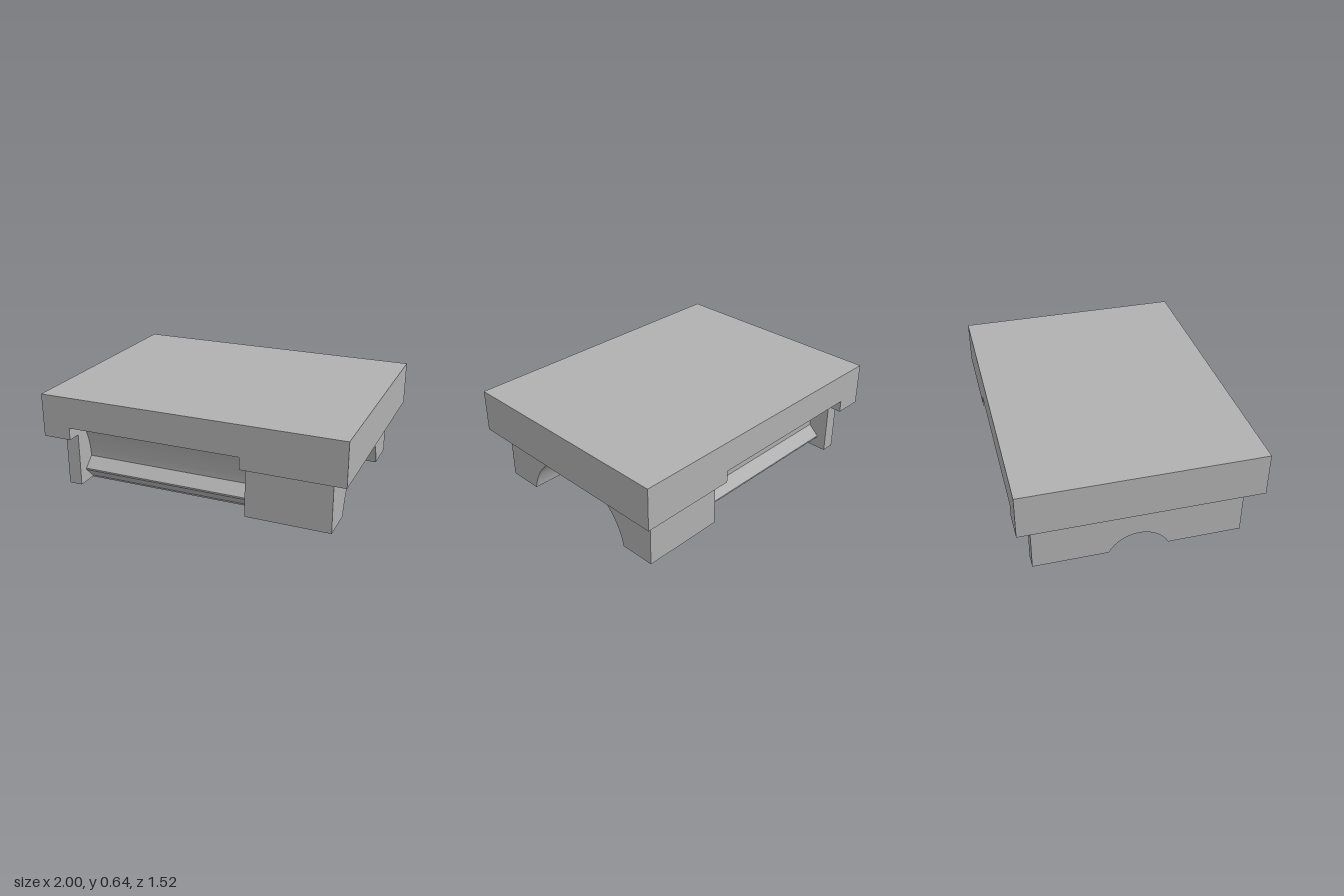
import * as THREE from 'three';
import { toCreasedNormals } from 'three/addons/utils/BufferGeometryUtils.js';

const AXIS_Y = -0.09; // height of the bore axis, just below the base
const CORE = 0.45;    // half width of the core that holds the bore

// quarter arc of a bore fillet as [x, radius] points
function fillet(cx, cr, rad, from, to, n = 8) {
  return Array.from({ length: n + 1 }, (_, i) => {
    const a = from + (to - from) * i / n;
    return [cx + rad * Math.cos(a), cr + rad * Math.sin(a)];
  });
}

// smooth strips of the bore, from the wide end to the narrow end
const BORE = [
  [[0.9, 0.44], [0.54, 0.44]],
  [[0.54, 0.44], [0.42, 0.41]],
  [[0.42, 0.41], [-0.28, 0.41]],
  fillet(-0.28, 0.37, 0.04, Math.PI / 2, Math.PI),
  [[-0.32, 0.37], [-0.32, 0.23]],
  fillet(-0.34, 0.23, 0.02, 0, -Math.PI / 2),
  [[-0.34, 0.21], [-0.43, 0.21]],
  [[-0.43, 0.21], [-0.49, 0.3]],
  [[-0.49, 0.3], [-0.79, 0.3]],
  [[-0.79, 0.3], [-0.79, 0.21]],
  [[-0.79, 0.21], [-0.9, 0.21]],
];

const halfAngle = r => Math.acos(-AXIS_Y / r);

// part of a surface of revolution above y = 0, facing its axis
function boreStrip(points, seg = 48) {
  const pos = [], idx = [];
  points.forEach(([x, r], i) => {
    for (let j = 0; j <= seg; j++) {
      const a = halfAngle(r) * (2 * j / seg - 1);
      pos.push(x, AXIS_Y + r * Math.cos(a), r * Math.sin(a));
      if (i < points.length - 1 && j < seg) {
        const p = i * (seg + 1) + j, q = p + seg + 1;
        idx.push(p, p + 1, q, p + 1, q + 1, q);
      }
    }
  });
  const g = new THREE.BufferGeometry();
  g.setAttribute('position', new THREE.Float32BufferAttribute(pos, 3));
  g.setIndex(idx);
  g.computeVertexNormals();
  return g;
}

const shapeOf = pts => new THREE.Shape(pts.map(p => new THREE.Vector2(p[0], p[1])));

export function createModel() {
  const model = new THREE.Group();
  model.name = 'mouldHalf';
  const grey = new THREE.MeshStandardMaterial({ color: 0xb0b0b0 });
  grey.name = 'grey';

  const add = (name, geo) => {
    const mesh = new THREE.Mesh(geo, grey);
    mesh.name = name;
    model.add(mesh);
    return mesh;
  };
  const box = (name, x0, x1, y0, y1, z0, z1) =>
    add(name, new THREE.BoxGeometry(x1 - x0, y1 - y0, z1 - z0))
      .position.set((x0 + x1) / 2, (y0 + y1) / 2, (z0 + z1) / 2);

  // top slab, with its lower layer left open over the side pockets
  box('topSlab', -1, 1, 0.435, 0.64, -0.76, 0.76);
  box('slabLeftEnd', 0.35, 1, 0.355, 0.435, -0.76, 0.76);
  box('slabRightEnd', -1, -0.81, 0.355, 0.435, -0.76, 0.76);

  // pocket wall: lip at the foot, then a curve leaning out to the slab
  const wall = [[CORE, 0], [0.53, 0], [0.53, 0.01], [0.6, 0.08], [0.6, 0.09], [0.53, 0.155]];
  const R = 0.442, sweep = Math.asin(0.28 / R);
  for (let i = 1; i <= 12; i++) {
    const a = sweep * i / 12;
    wall.push([0.53 + R * (1 - Math.cos(a)), 0.155 + R * Math.sin(a)]);
  }
  wall.push([CORE, 0.435]);

  // bore edge seen in the base
  const edge = BORE.flat().map(([x, r]) => [x, Math.sqrt(r * r - AXIS_Y * AXIS_Y)]);

  for (const s of [1, -1]) {
    const side = s > 0 ? 'front' : 'back';
    const z = [s * CORE, s * 0.667].sort((a, b) => a - b);
    box(side + 'LeftBlock', 0.35, 0.9, 0, 0.355, ...z);
    box(side + 'RightBlock', -0.9, -0.81, 0, 0.355, ...z);

    const g = new THREE.ExtrudeGeometry(shapeOf(wall.map(([d, y]) => [-s * d, y])),
      { depth: 1.16, bevelEnabled: false });
    g.rotateY(Math.PI / 2);
    g.translate(-0.81, 0, 0);
    add(side + 'PocketWall', toCreasedNormals(g, 0.3));

    const base = [...edge, [-0.9, CORE], [0.9, CORE]].map(([x, d]) => [x, s * d]);
    add(side + 'Base', new THREE.ShapeGeometry(shapeOf(base)).rotateX(Math.PI / 2));
  }

  // end faces with the arched openings
  for (const [name, s, r] of [['leftEndFace', 1, 0.44], ['rightEndFace', -1, 0.21]]) {
    const pts = [[-CORE, 0], [-CORE, 0.355], [CORE, 0.355], [CORE, 0]];
    for (let j = 0; j <= 48; j++) {
      const a = halfAngle(r) * (1 - 2 * j / 48);
      pts.push([r * Math.sin(a), AXIS_Y + r * Math.cos(a)]);
    }
    add(name, new THREE.ShapeGeometry(shapeOf(pts)).rotateY(s * Math.PI / 2))
      .position.x = s * 0.9;
  }

  // stepped bore
  BORE.forEach((strip, i) => add('bore' + (i + 1), boreStrip(strip)));

  return model;
}
